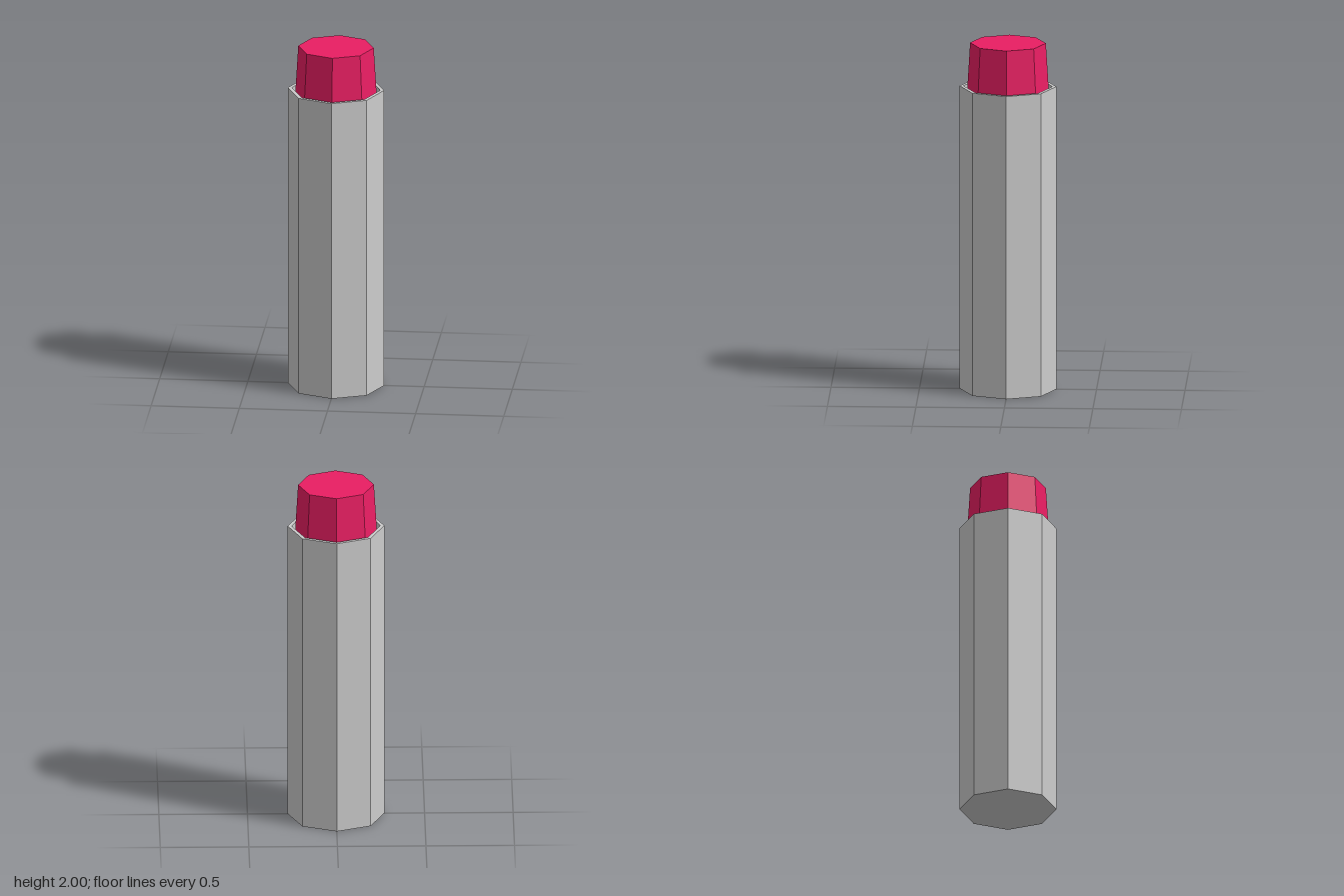
import * as THREE from 'three';

const SIDES = 8;

export function createModel() {
  const group = new THREE.Group();

  // Octagonal barrel with a thin rim around a shallow recess
  const profile = [[0, 0], [0.273, 0], [0.273, 1.75], [0.251, 1.75], [0.251, 1.7], [0, 1.7]]
    .map(([r, y]) => new THREE.Vector2(r, y));
  const barrel = new THREE.Mesh(
    new THREE.LatheGeometry(profile, SIDES),
    new THREE.MeshStandardMaterial({ color: 0xcccccc, flatShading: true })
  );
  barrel.name = 'barrel';
  group.add(barrel);

  // Tapered coloured plug standing in the recess
  const plug = new THREE.Mesh(
    new THREE.CylinderGeometry(0.214, 0.232, 0.3, SIDES),
    new THREE.MeshStandardMaterial({ color: 0xe91e63, flatShading: true })
  );
  plug.name = 'plug';
  plug.position.y = 1.85;
  group.add(plug);

  return group;
}
